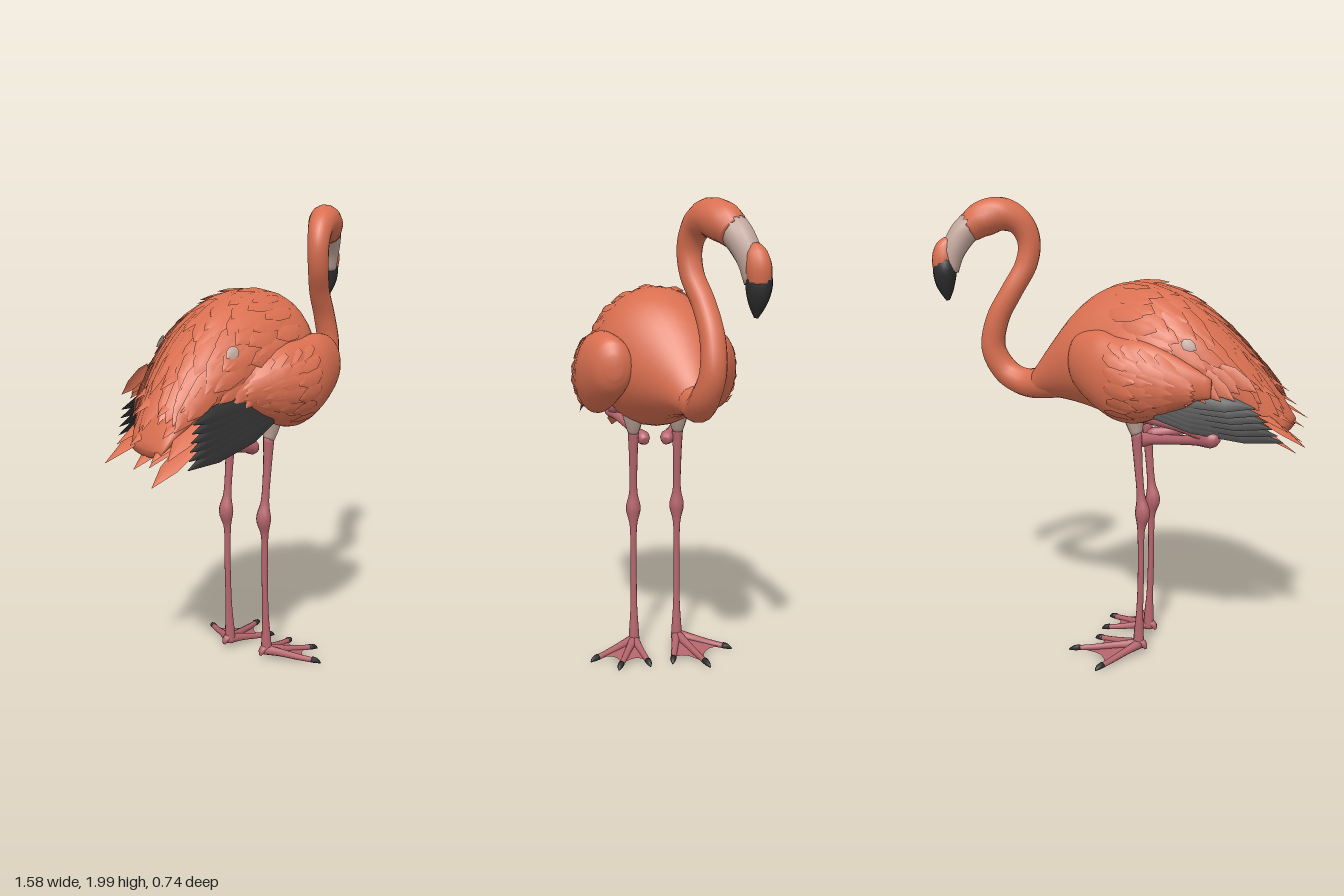
import * as THREE from 'three';
import { mergeGeometries } from 'three/addons/utils/BufferGeometryUtils.js';

const V = (x, y, z) => new THREE.Vector3(x, y, z);
const spline = pts => new THREE.CatmullRomCurve3(pts, false, 'catmullrom', 0.5);
const mat = (name, color) => {
  const m = new THREE.MeshStandardMaterial({ color, side: THREE.DoubleSide });
  m.name = name;
  return m;
};

let seed = 7;
const rnd = (a, b) => {
  seed = (seed * 16807) % 2147483647;
  return a + (b - a) * seed / 2147483647;
};

function build(points, index) {
  const g = new THREE.BufferGeometry().setFromPoints(points);
  g.setIndex(index);
  g.computeVertexNormals();
  return g;
}

// Skin over closed rings of points, with capped ends
function loft(rings) {
  const n = rings[0].length, m = rings.length, pts = rings.flat(), idx = [];
  for (let i = 0; i < m - 1; i++) for (let j = 0; j < n; j++) {
    const a = i * n + j, b = i * n + (j + 1) % n;
    idx.push(a, b, a + n, b, b + n, a + n);
  }
  const centre = r => r.reduce((s, p) => s.add(p), V(0, 0, 0)).divideScalar(n);
  pts.push(centre(rings[0]), centre(rings[m - 1]));
  for (let j = 0; j < n; j++) {
    const k = (j + 1) % n;
    idx.push(m * n, k, j, m * n + 1, (m - 1) * n + j, (m - 1) * n + k);
  }
  return build(pts, idx);
}

// Tube along [x, y, z, radius] points
function taper(list, steps = 12, sides = 10) {
  const curve = spline(list.map(p => V(p[0], p[1], p[2])));
  const radii = spline(list.map(p => V(p[3], 0, 0))), ref = V(0, 0, 1);
  const rings = [];
  for (let i = 0; i <= steps; i++) {
    const t = i / steps, c = curve.getPoint(t), T = curve.getTangent(t), r = radii.getPoint(t).x;
    const N = ref.clone().addScaledVector(T, -T.dot(ref)).normalize(), B = T.clone().cross(N);
    rings.push(Array.from({ length: sides }, (_, j) => {
      const a = j / sides * Math.PI * 2;
      return c.clone().addScaledVector(N, Math.cos(a) * r).addScaledVector(B, Math.sin(a) * r);
    }));
  }
  return loft(rings);
}

// Oval surface running backwards, from rows of [x, top, bottom, half width, centre z]
function surface(rows) {
  const yc = spline(rows.map(r => V(r[0], r[1], r[2])));
  const zc = spline(rows.map(r => V(r[0], r[3], r[4])));
  const at = (t, a) => {
    const p = yc.getPoint(t), q = zc.getPoint(t);
    return V(p.x, (p.y + p.z) / 2 + Math.sin(a) * (p.y - p.z) / 2, q.z + Math.cos(a) * q.y);
  };
  const rings = Array.from({ length: 31 }, (_, i) =>
    Array.from({ length: 28 }, (_, j) => at(i / 30, j / 28 * Math.PI * 2)));
  return { at, geometry: loft(rings) };
}

// Pointed feather with a raised middle line
function feather(base, tip, width, up) {
  const dir = tip.clone().sub(base);
  const side = dir.clone().cross(up).normalize(), lift = side.clone().cross(dir).normalize();
  const pts = [], idx = [];
  [[0, 0.5], [0.3, 1], [0.7, 0.8], [1, 0.03]].forEach(([t, w], i) => {
    const c = base.clone().addScaledVector(dir, t);
    for (const s of [1, 0, -1])
      pts.push(c.clone().addScaledVector(side, s * w * width).addScaledVector(lift, s ? 0 : w * width * 0.3));
    if (i) for (let j = 0; j < 2; j++) {
      const a = (i - 1) * 3 + j;
      idx.push(a, a + 3, a + 1, a + 1, a + 3, a + 4);
    }
  });
  return build(pts, idx);
}

export function createModel() {
  const orange = mat('orange plumage', 0xd96f50), black = mat('black', 0x2e2d2d);
  const pink = mat('pink skin', 0xb5656c), pale = mat('pale skin', 0xc2a69b);
  const model = new THREE.Group();
  const add = (name, geos, m) => {
    const mesh = new THREE.Mesh(Array.isArray(geos) ? mergeGeometries(geos) : geos, m);
    mesh.name = name;
    model.add(mesh);
  };

  // Body
  const body = surface([
    [0.4, 1.26, 1.15, 0.055, -0.13], [0.31, 1.39, 1.145, 0.12, -0.1], [0.2, 1.54, 1.12, 0.2, -0.05],
    [0.1, 1.62, 1.085, 0.25, -0.01], [0, 1.65, 1.05, 0.27, 0], [-0.1, 1.65, 1.055, 0.28, 0],
    [-0.2, 1.625, 1.09, 0.28, 0], [-0.3, 1.565, 1.13, 0.265, 0.01], [-0.4, 1.48, 1.14, 0.24, 0.025],
    [-0.5, 1.37, 1.12, 0.195, 0.05], [-0.6, 1.24, 1.08, 0.15, 0.08], [-0.68, 1.11, 1.05, 0.1, 0.11]]);
  add('body', body.geometry, orange);

  // Back feathers, lying on the body and sweeping down to each side
  const coat = [];
  for (let row = 0; row < 8; row++) for (let k = 0; k < 9; k++) {
    const t = 0.36 + row * 0.065 + rnd(-0.02, 0.02), a = 0.25 + (k + (row % 2) * 0.5) * 0.31;
    const b = a + (a < Math.PI / 2 ? -1 : 1) * rnd(0.05, 0.2), up = V(-0.2, Math.sin(a), Math.cos(a));
    const tip = body.at(Math.min(1, t + rnd(0.12, 0.17)), b).addScaledVector(up, 0.016);
    coat.push(feather(body.at(t, a).addScaledVector(up, -0.004), tip, 0.042, up));
  }
  add('backFeathers', coat, orange);
  add('paleFeathers', [0.55, 2.6].map(a => {
    const up = V(0, Math.sin(a), Math.cos(a));
    return feather(body.at(0.67, a).addScaledVector(up, 0.02), body.at(0.72, a).addScaledVector(up, 0.025), 0.025, up);
  }), pale);

  // Tail: upper and lower fans
  const tail = [
    [-0.79, 1.02, -0.01], [-0.72, 1.08, -0.03], [-0.72, 1.09, 0.06], [-0.74, 1.01, 0.11], [-0.7, 0.94, 0.17],
    [-0.72, 1.05, 0.2], [-0.71, 1.07, 0.29], [-0.66, 1.0, 0.1], [-0.68, 1.14, 0.22], [-0.66, 1.21, 0.16],
    [-0.67, 1.2, 0.02], [-0.6, 1.3, 0.1], [-0.62, 1.24, -0.05], [-0.57, 1.18, -0.1], [-0.6, 1.23, 0.23]];
  add('tailFeathers', tail.map(([x, y, z]) =>
    feather(V(x + 0.32, y + 0.18, z * 0.6 + 0.01), V(x, y, z), 0.055, V(-0.4, 1, z))), orange);

  // Wings with coverts and black flight feathers
  for (const s of [1, -1]) {
    const name = s > 0 ? 'near' : 'far', dx = s > 0 ? 0 : -0.07;
    const wing = surface([
      [0.25, 1.38, 1.29, 0.03, 0.19], [0.21, 1.45, 1.22, 0.085, 0.2], [0.1, 1.475, 1.15, 0.105, 0.235],
      [0, 1.46, 1.11, 0.1, 0.255], [-0.1, 1.45, 1.11, 0.09, 0.265], [-0.2, 1.42, 1.15, 0.065, 0.26],
      [-0.31, 1.36, 1.21, 0.04, 0.24], [-0.39, 1.31, 1.23, 0.015, 0.22]
    ].map(r => [r[0] + dx, r[1], r[2], r[3], r[4] * s]));
    add(name + 'Wing', wing.geometry, orange);
    const coverts = [], flight = [];
    for (let row = 0; row < 4; row++) for (let k = 0; k < 6; k++) {
      const e = -0.9 + k * 0.38, a = s > 0 ? e : Math.PI - e;
      const t = 0.4 + row * 0.1 + rnd(-0.02, 0.02), up = V(0, Math.sin(a), Math.cos(a));
      const tip = wing.at(Math.min(1, t + 0.2), a).addScaledVector(up, 0.014);
      tip.y -= k * 0.01;
      coverts.push(feather(wing.at(t, a), tip, 0.035, up));
    }
    // Flank feathers hanging over the dark ones
    for (let k = 0; k < 7; k++) {
      const x = -0.16 - k * 0.04 + dx, y = 1.33 + k * 0.003, z = s * (0.3 - k * (s > 0 ? 0.014 : 0.024));
      const tip = V(x - rnd(0.12, 0.16), y - rnd(0.09, 0.13), z + (s > 0 ? 0.005 : 0.025));
      coverts.push(feather(V(x, y, z), tip, 0.033, V(0, 0.3, s)));
    }
    for (let k = 0; k < 6; k++) {
      const tip = s > 0 ? V(-0.645 + k * 0.012, 1.03 + k * 0.032, 0.325 - k * 0.008)
        : V(-0.71 + k * 0.018, 1.04 + k * 0.03, -0.05 - k * 0.018);
      const base = V(s > 0 ? -0.19 : -0.25, 1.165 + k * 0.018, s * (0.29 - k * 0.004));
      flight.push(feather(base, tip, 0.048, V(0, 0.55, s)));
    }
    add(name + 'WingCoverts', coverts, orange);
    add(name + 'FlightFeathers', flight, black);
  }

  // Neck and head in one curve
  add('neckAndHead', taper([
    [0.22, 1.27, -0.08, 0.12], [0.34, 1.215, -0.12, 0.078], [0.45, 1.2, -0.13, 0.062], [0.545, 1.245, -0.14, 0.058],
    [0.592, 1.35, -0.165, 0.053], [0.565, 1.48, -0.165, 0.05], [0.505, 1.6, -0.14, 0.048],
    [0.455, 1.71, -0.1, 0.048], [0.443, 1.81, -0.09, 0.05], [0.475, 1.89, -0.11, 0.058],
    [0.54, 1.925, -0.15, 0.071], [0.605, 1.905, -0.195, 0.075], [0.655, 1.865, -0.232, 0.06]], 72, 14), orange);

  // Beak: pale face, orange ridge, black hooked tip
  add('beakBase', taper([[0.64, 1.885, -0.222, 0.06], [0.675, 1.84, -0.25, 0.057],
    [0.705, 1.77, -0.28, 0.05], [0.718, 1.69, -0.295, 0.04]], 12, 12), pale);
  add('beakRidge', taper([[0.71, 1.815, -0.285, 0.03], [0.732, 1.78, -0.298, 0.044],
    [0.738, 1.735, -0.305, 0.049], [0.738, 1.68, -0.307, 0.042]], 10, 12), orange);
  add('beakTip', taper([[0.724, 1.75, -0.305, 0.036], [0.73, 1.7, -0.308, 0.05], [0.733, 1.65, -0.306, 0.045],
    [0.73, 1.605, -0.303, 0.03], [0.727, 1.565, -0.3, 0.008]], 12, 12), black);

  // Legs, folded upper joints and webbed feet
  for (const s of [1, -1]) {
    const name = s > 0 ? 'near' : 'far', x = s > 0 ? -0.05 : -0.095, z = s * 0.1;
    add(name + 'Thigh', taper([[x + 0.03, 1.12, z, 0.055], [x + 0.025, 1.06, z, 0.038], [x + 0.018, 1.015, z, 0.024]], 6), pale);
    add(name + 'Leg', taper([[x + 0.018, 1.03, z, 0.025], [x + 0.01, 0.9, z, 0.019], [x - 0.003, 0.75, z, 0.018],
      [x - 0.012, 0.665, z, 0.033], [x - 0.005, 0.58, z, 0.016], [x - 0.005, 0.4, z, 0.014], [x, 0.22, z, 0.015],
      [x + 0.005, 0.1, z, 0.022], [x + 0.005, 0.035, z, 0.026]], 40), pink);
    add(name + 'FoldedLeg', [
      taper([[-0.06, 0.97, s * 0.045, 0.018], [-0.09, 0.983, s * 0.055, 0.032], [-0.16, 0.998, s * 0.08, 0.022],
        [-0.36, 1.035, s * 0.15, 0.022], [-0.45, 1.055, s * 0.18, 0.036], [-0.485, 1.062, s * 0.19, 0.016]], 30),
      taper([[-0.45, 1.06, s * 0.18, 0.028], [-0.3, 1.085, s * 0.15, 0.022], [-0.08, 1.1, s * 0.09, 0.03]], 10)], pink);

    const tips = s > 0 ? [[0.1, 0.3], [0.2, 0.18], [0.17, 0.04]] : [[0, -0.345], [0.2, -0.22], [0.15, -0.06]];
    const toes = [], claws = [];
    for (const [tx, tz] of tips) {
      const along = (t, y, r) => [x + (tx - x) * t, y, z + (tz - z) * t, r];
      toes.push(taper([along(0, 0.05, 0.024), along(0.3, 0.04, 0.017), along(0.6, 0.027, 0.014), along(0.88, 0.018, 0.012)], 8, 8));
      claws.push(taper([along(0.84, 0.021, 0.014), along(0.93, 0.017, 0.012), along(1, 0.008, 0.003)], 4, 8));
    }
    toes.push(taper([[x, 0.06, z, 0.02], [x - 0.02, 0.05, z, 0.016], [x - 0.03, 0.03, z, 0.006]], 5, 8));
    add(name + 'Toes', toes, pink);
    add(name + 'Claws', claws, black);

    // Web between the toes, sloping down to the ground
    const e = tips.map(([tx, tz]) => [x + (tx - x) * 0.82, z + (tz - z) * 0.82]);
    const web = new THREE.Shape().moveTo(x, z).lineTo(...e[0]);
    for (let i = 0; i < 2; i++) {
      const mx = (e[i][0] + e[i + 1][0]) / 2, mz = (e[i][1] + e[i + 1][1]) / 2;
      web.quadraticCurveTo(x + (mx - x) * 0.65, z + (mz - z) * 0.65, ...e[i + 1]);
    }
    const g = new THREE.ShapeGeometry(web, 6).rotateX(Math.PI / 2), p = g.attributes.position;
    for (let i = 0; i < p.count; i++)
      p.setY(i, Math.max(0.012, 0.045 - 0.14 * Math.hypot(p.getX(i) - x, p.getZ(i) - z)));
    g.computeVertexNormals();
    add(name + 'Web', g, pink);
  }
  return model;
}
